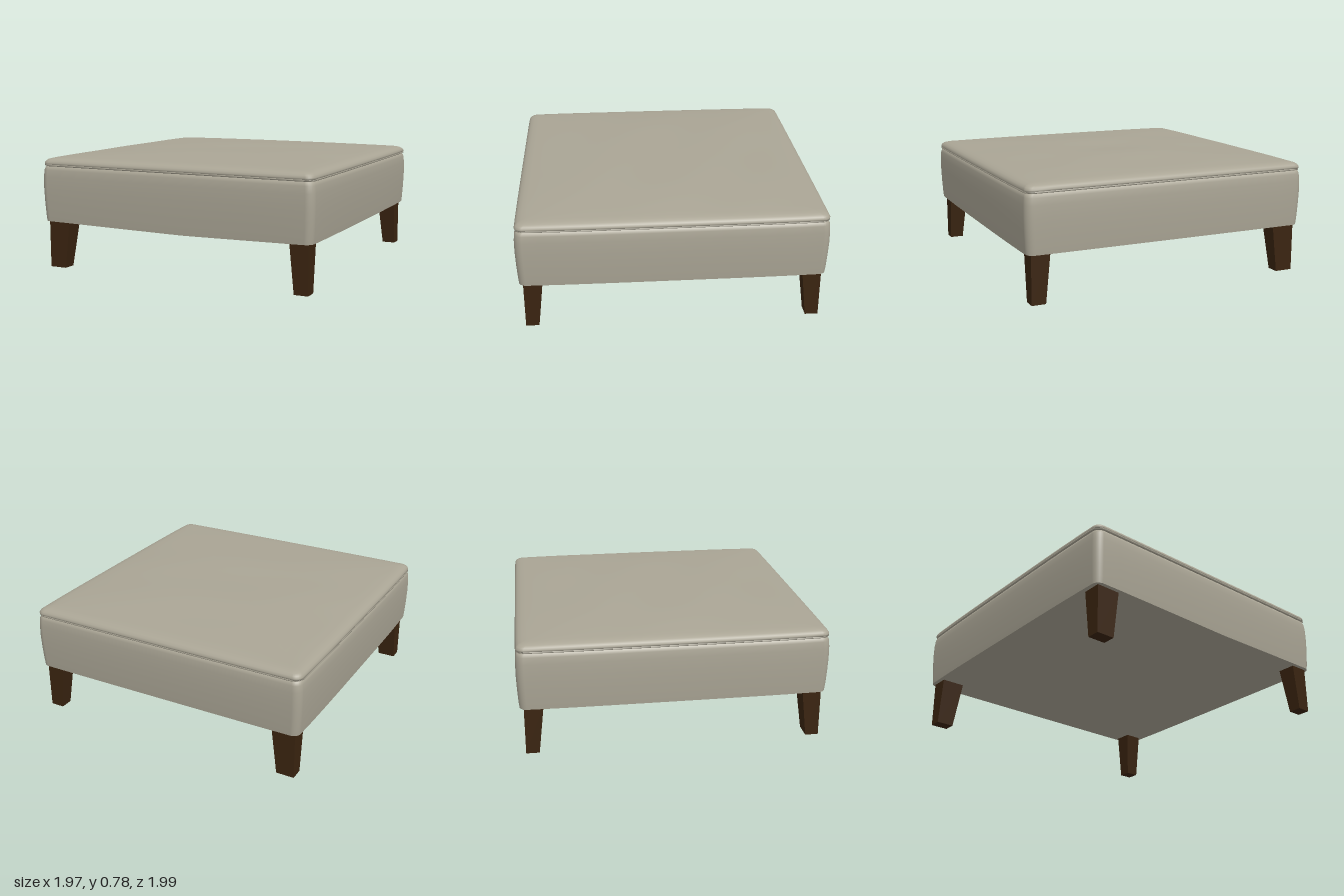
import * as THREE from 'three';

const fabric = new THREE.MeshStandardMaterial({ color: 0xaaa595 });
fabric.name = 'greigeFabric';
const wood = new THREE.MeshStandardMaterial({ color: 0x3a2410 });
wood.name = 'darkWood';

const HX = 0.975, HZ = 0.99, RADIUS = 0.05;
const SIDE = 16, CORNER = 6;

// Points of a rounded rectangle, with sides bowing out slightly
function outline(inset, scale = 1, bow = 0.01) {
  const hx = (HX - inset) * scale, hz = (HZ - inset) * scale;
  const r = Math.max(RADIUS - inset * 0.3, 0.01) * scale;
  const centres = [[1, 1], [-1, 1], [-1, -1], [1, -1]];
  const pts = [];
  centres.forEach(([sx, sz], k) => {
    for (let i = 0; i <= CORNER; i++) {
      const a = (k + i / CORNER) * Math.PI / 2;
      pts.push([sx * (hx - r) + r * Math.cos(a), sz * (hz - r) + r * Math.sin(a)]);
    }
    // straight run to the next corner
    const start = pts[pts.length - 1];
    const [nx, nz] = centres[(k + 1) % 4];
    const a = (k + 1) * Math.PI / 2;
    const end = [nx * (hx - r) + r * Math.cos(a), nz * (hz - r) + r * Math.sin(a)];
    for (let i = 1; i < SIDE; i++) {
      const t = i / SIDE;
      pts.push([start[0] + (end[0] - start[0]) * t, start[1] + (end[1] - start[1]) * t]);
    }
  });
  return pts.map(([x, z]) => [
    x * (1 + bow * (1 - (z / HZ) ** 4)),
    z * (1 + bow * 0.3 * (1 - (x / HX) ** 4)),
  ]);
}

// Smooth surface through rings listed from bottom to top
function loft(rings, heightAt) {
  const pos = [], index = [];
  const n = 4 * (CORNER + SIDE);
  rings.forEach(([inset, y, scale]) => {
    for (const [x, z] of outline(inset, scale)) pos.push(x, heightAt(x, y, z), z);
  });
  for (let i = 0; i < rings.length - 1; i++) {
    for (let j = 0; j < n; j++) {
      const a = i * n + j, b = i * n + (j + 1) % n;
      index.push(a, a + n, b, b, a + n, b + n);
    }
  }
  const geo = new THREE.BufferGeometry();
  geo.setAttribute('position', new THREE.Float32BufferAttribute(pos, 3));
  geo.setIndex(index);
  geo.computeVertexNormals();
  return geo;
}

// Underside dips slightly towards the middle of the front
function sag(x, y, z) {
  const low = Math.min(1, Math.max(0, (0.55 - y) / 0.23));
  return y - 0.014 * low * Math.max(0, 1 - Math.abs(x - 0.1)) * (z + 1) / 2;
}

// Soft, slightly uneven crown of the seat
function crown(x, y, z) {
  if (y < 0.73) return y;
  const u = Math.min(1, Math.abs(x) / 0.97), v = Math.min(1, Math.abs(z) / 0.98);
  const puff = (1 - u ** 3) * (1 - v ** 3);
  return y + 0.03 * puff + 0.004 * puff * Math.cos(x * 4) * Math.cos(z * 9 + 2.8);
}

// Leg tapering towards its outer corner
function makeLeg(sx, sz) {
  const topX = sx < 0 ? 0.16 : 0.125, footX = sx < 0 ? 0.12 : 0.092;
  const topZ = 0.123, footZ = 0.085, height = 0.325;
  const geo = new THREE.BoxGeometry(1, height, 1);
  const p = geo.attributes.position;
  for (let i = 0; i < p.count; i++) {
    const top = p.getY(i) > 0;
    const inX = p.getX(i) * sx < 0, inZ = p.getZ(i) * sz < 0;
    p.setXYZ(i,
      sx * (0.938 - (inX ? (top ? topX : footX) : 0)),
      top ? height : 0,
      sz * (0.953 - (inZ ? (top ? topZ : footZ) : 0)));
  }
  geo.computeVertexNormals();
  return new THREE.Mesh(geo, wood);
}

export function createModel() {
  const model = new THREE.Group();
  model.name = 'ottoman';
  const add = (name, geo) => {
    const mesh = new THREE.Mesh(geo, fabric);
    mesh.name = name;
    model.add(mesh);
  };

  // Upholstered base and its underside
  add('sideUpholstery', loft([
    [0.012, 0.317, 1], [0.008, 0.36, 1], [0.003, 0.45, 1], [0, 0.54, 1],
    [0.001, 0.62, 1], [0.005, 0.665, 1], [0.012, 0.685, 1], [0.03, 0.697, 1],
  ], sag));
  add('underside', loft(
    [0.001, 0.2, 0.4, 0.6, 0.8, 1].map((s) => [0.012, 0.317, s]), sag));

  // Padded seat
  const seat = [
    [0.025, 0.692, 1], [0.008, 0.7, 1], [0.007, 0.712, 1], [0.014, 0.725, 1],
    [0.028, 0.735, 1], [0.05, 0.741, 1], [0.08, 0.744, 1],
  ];
  for (let i = 1; i <= 14; i++) seat.push([0.08, 0.744, Math.max(0.001, 1 - i / 14)]);
  add('seatCushion', loft(seat, crown));

  // Seam piping between base and seat
  const path = new THREE.CatmullRomCurve3(
    outline(0.012).map(([x, z]) => new THREE.Vector3(x, 0.697, z)), true);
  add('seamPiping', new THREE.TubeGeometry(path, 180, 0.007, 6, true));

  // Four legs
  for (const sz of [1, -1]) {
    for (const sx of [1, -1]) {
      const leg = makeLeg(sx, sz);
      leg.name = (sz > 0 ? 'front' : 'back') + (sx > 0 ? 'Left' : 'Right') + 'Leg';
      model.add(leg);
    }
  }
  return model;
}
